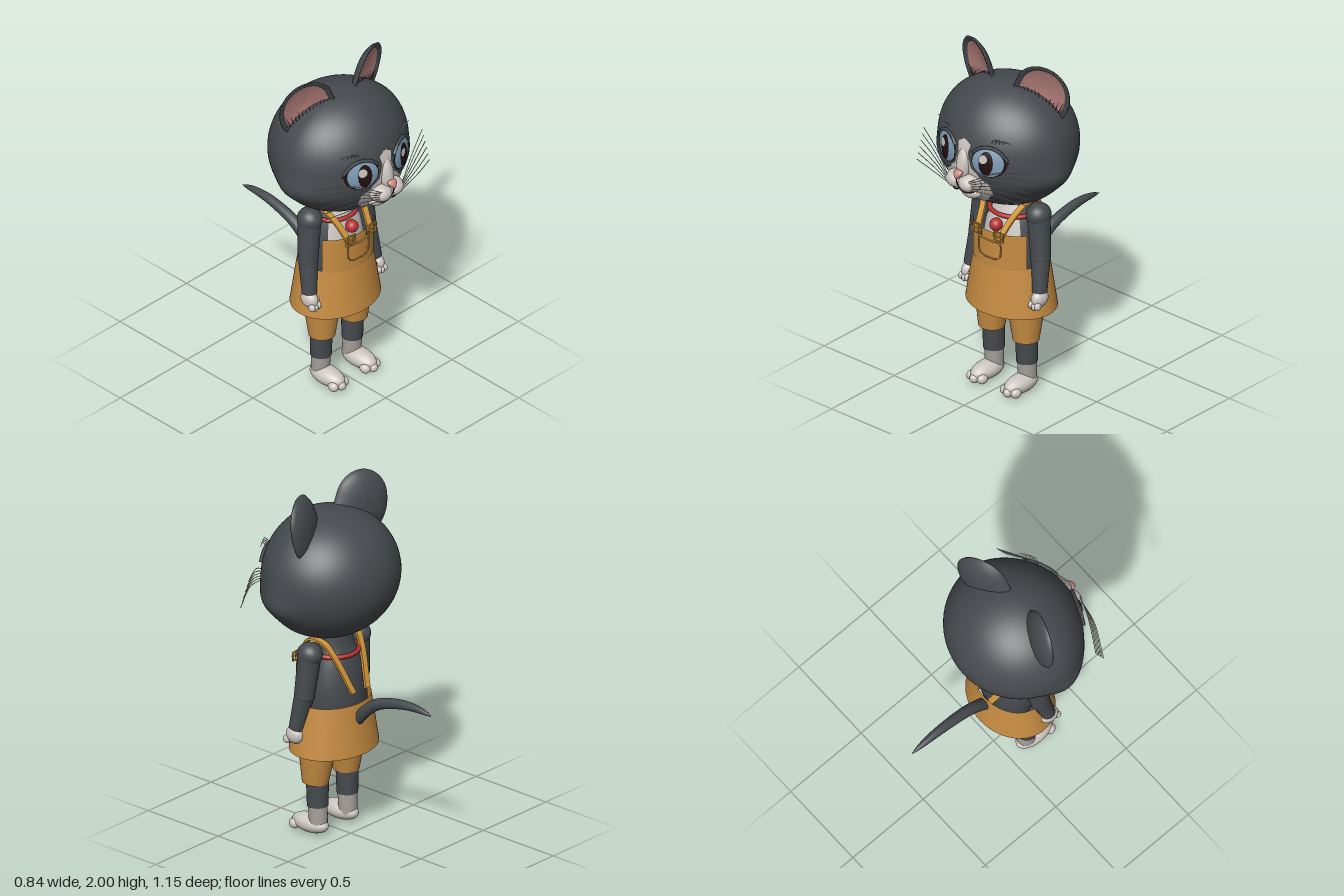
import * as THREE from 'three';
import { mergeVertices } from 'three/addons/utils/BufferGeometryUtils.js';

const mat = (name, color, side = THREE.FrontSide) => {
  const m = new THREE.MeshStandardMaterial({ color, side });
  m.name = name;
  return m;
};
const fur = mat('grey fur', 0x464a4e);
const white = mat('white fur', 0xccc6c1);
const paleGrey = mat('pale grey fur', 0xa6a19d);
const cloth = mat('ochre cloth', 0xc68c42, THREE.DoubleSide);
const gold = mat('gold', 0xd0963a);
const earPink = mat('inner ear', 0xb5807b);
const nosePink = mat('nose pink', 0xc98680);
const red = mat('red', 0xb83232);
const blue = mat('iris blue', 0x7d9cb6);
const dark = mat('dark pupil', 0x220f12);

const V = (x, y, z) => new THREE.Vector3(x, y, z);
const curve = (...p) => new THREE.CatmullRomCurve3(p.map(a => V(...a)));

// Front surface of the head: round skull, cheek ridge, tapering to the face
const ringScale = y => Math.sqrt(Math.max(0, 1 - ((y - 1.49) / 0.36) ** 2));
const headWidth = (y, cheek = 1) =>
  ringScale(y) * (0.405 + 0.034 * cheek * Math.exp(-(((y - 1.375) / 0.075) ** 2)));
const taper = u => Math.max(0, 1 - Math.abs(u) ** 1.85) ** 0.58;
const faceZ = (x, y) => 0.17 + 0.335 * ringScale(y) * taper(Math.min(1, x / (headWidth(y) + 1e-6)));

// Move every vertex by a rule
function warp(geo, rule) {
  const p = geo.attributes.position, v = new THREE.Vector3();
  for (let i = 0; i < p.count; i++) {
    rule(v.fromBufferAttribute(p, i));
    p.setXYZ(i, v.x, v.y, v.z);
  }
  geo.computeVertexNormals();
  return geo;
}

// Bend a unit-tall shape along a path
const sweep = (geo, path) => warp(geo, v => {
  const t = THREE.MathUtils.clamp(v.y + 0.5, 0, 1), T = path.getTangentAt(t);
  const N = V(1, 0, 0).cross(T).normalize();
  v.copy(path.getPointAt(t).add(V(v.x, 0, 0)).addScaledVector(N, v.z));
});

// Read a value from a short table of [position, value]
function lookup(table, y) {
  let i = 0;
  while (i < table.length - 2 && y > table[i + 1][0]) i++;
  const [a, b] = [table[i], table[i + 1]];
  return THREE.MathUtils.lerp(a[1], b[1], THREE.MathUtils.smoothstep(y, a[0], b[0]));
}

export function createModel() {
  const model = new THREE.Group();
  model.name = 'cat in apron';
  const add = (name, geo, m, x = 0, y = 0, z = 0, parent = model) => {
    const mesh = new THREE.Mesh(geo, m);
    mesh.name = name;
    mesh.position.set(x, y, z);
    parent.add(mesh);
    return mesh;
  };
  const ball = (name, m, x, y, z, rx, ry = rx, rz = rx) =>
    add(name, new THREE.SphereGeometry(1, 28, 20).scale(rx, ry, rz), m, x, y, z);
  const limb = (name, m, a, b, ra, rb, open = false) => {
    const A = V(...a), d = V(...b).sub(A);
    const mesh = add(name, new THREE.CylinderGeometry(rb, ra, d.length(), 32, 1, open), m);
    mesh.position.copy(A).addScaledVector(d, 0.5);
    mesh.quaternion.setFromUnitVectors(V(0, 1, 0), d.normalize());
  };
  const tube = (name, m, path, r) => add(name, new THREE.TubeGeometry(path, 16, r, 6), m);
  const facePatch = (name, m, cx, cy, rx, ry, off, bulge = 0) =>
    add(name, warp(new THREE.RingGeometry(0, 1, 36, 6), v => {
      const k = 1 - v.x * v.x - v.y * v.y;
      v.set(cx + rx * v.x, cy + ry * v.y, 0);
      v.z = faceZ(v.x, v.y) + off + bulge * k;
    }), m);

  // Head
  const skull = new THREE.SphereGeometry(1, 72, 48);
  skull.deleteAttribute('uv');
  skull.deleteAttribute('normal');
  add('head', warp(mergeVertices(skull), v => {
    const s = Math.sqrt(Math.max(1e-8, 1 - v.y * v.y)), y = 1.49 + 0.36 * v.y, u = v.x / s;
    const z = v.z > 0 ? 0.17 + 0.335 * s * taper(u) : 0.17 + 0.39 * v.z;
    v.set(u * headWidth(y, THREE.MathUtils.smoothstep(v.z, -0.45, 0)), y, z);
  }), fur);

  // White blaze, muzzle and chin
  const blaze = [[1.15, 0.03], [1.2, 0.045], [1.25, 0.1], [1.31, 0.15], [1.37, 0.155],
    [1.42, 0.1], [1.47, 0.055], [1.54, 0.036], [1.59, 0.045], [1.615, 0.012]];
  add('faceBlaze', warp(new THREE.PlaneGeometry(2, 1, 20, 48), v => {
    const y = 1.15 + (v.y + 0.5) * 0.465, x = v.x * lookup(blaze, y);
    v.set(x, y, faceZ(x, y) + 0.008);
  }), white);
  ball('noseBridge', white, 0, 1.475, 0.497, 0.042, 0.1, 0.044).rotation.x = -0.2;
  ball('chin', white, 0, 1.283, 0.43, 0.07, 0.045, 0.06);
  add('nose', warp(new THREE.SphereGeometry(1, 24, 16), v => {
    v.set(v.x * 0.036 * (0.7 + 0.4 * v.y), v.y * 0.026, v.z * 0.022 - v.y * 0.008);
  }), nosePink, 0, 1.422, 0.55);
  tube('mouthSeam', dark, curve([0, 1.4, 0.561], [0, 1.37, 0.557], [0, 1.335, 0.535]), 0.003);

  for (const s of [1, -1]) {
    // Muzzle, mouth and whiskers
    ball('muzzle', white, s * 0.045, 1.367, 0.503, 0.064, 0.05, 0.064);
    tube('mouth', dark, curve([0, 1.33, 0.538], [s * 0.04, 1.315, 0.53], [s * 0.085, 1.328, 0.512]), 0.004);
    for (let i = 0; i < 6; i++)
      tube('whisker', white, curve([s * 0.075, 1.35 + i * 0.01, 0.55],
        [s * 0.22, 1.36 + i * 0.023, 0.52 - i * 0.008], [s * 0.4, 1.32 + i * 0.034, 0.43 - i * 0.011]), 0.0022);
    for (let i = 0; i < 4; i++) {
      const x = 0.15 + i * 0.018, z = faceZ(x, 1.62);
      tube('browHair', white, curve([s * x, 1.62, z], [s * (x + 0.02), 1.645, z + 0.008],
        [s * (x + 0.055), 1.66 - i * 0.008, z - 0.005]), 0.0022);
    }

    // Eyes
    facePatch('eyeRim', dark, s * 0.15, 1.513, 0.094, 0.088, 0.005);
    add('eyeCorner', warp(new THREE.CircleGeometry(1, 3), v => {
      v.set(s * (0.225 + v.x * 0.034), 1.522 + s * v.y * 0.03, 0);
      v.z = faceZ(v.x, v.y) + 0.008;
    }), dark);
    facePatch('iris', blue, s * 0.147, 1.511, 0.083, 0.081, 0.009, 0.008);
    facePatch('pupil', dark, s * 0.145, 1.511, 0.038, 0.07, 0.018, 0.004);
    facePatch('eyeShine', white, s * 0.147 - 0.014, 1.537, 0.023, 0.025, 0.025);
    tube('eyelid', fur, curve(...[0.06, 0.1, 0.15, 0.2, 0.245].map((x, i) => {
      const y = [1.555, 1.588, 1.598, 1.582, 1.535][i];
      return [s * x, y, faceZ(x, y) + 0.008];
    })), 0.01);

    // Ears, widening inwards at the base
    const ear = new THREE.Group();
    ear.name = 'ear';
    ear.position.set(s * 0.232, 1.835, 0.13);
    ear.rotation.set(0.15, s * 0.35, 0);
    ear.scale.set(1.04, 1.11, 1);
    model.add(ear);
    const dish = pts => warp(
      new THREE.LatheGeometry(pts.map(p => new THREE.Vector2(...p)), 40).rotateX(Math.PI / 2), v => {
        const low = THREE.MathUtils.smoothstep(-v.y, -0.06, 0.12);
        if (v.x * s < 0) v.x *= 1 + 0.5 * low;
        if (v.y < 0) v.y *= 1.2;
      });
    add('earShell', dish([[0, -0.05], [0.05, -0.047], [0.1, -0.035], [0.135, -0.015], [0.15, 0.004],
      [0.146, 0.01], [0.135, 0.007], [0.118, -0.006]]), fur, 0, 0, 0, ear);
    add('innerEar', dish([[0.12, -0.004], [0.08, -0.016], [0, -0.022]]), earPink, 0, 0, 0, ear);
    for (let i = 0; i < 13; i++) {
      const tuft = add('earTuft', new THREE.ConeGeometry(0.005, 0.09 + (i % 3) * 0.016, 5), fur,
        s * (-0.11 + i * 0.017), -0.015 - i * 0.008, 0.004, ear);
      tuft.rotation.z = s * (0.35 - i * 0.08);
    }

    // Arms and paws
    ball('shoulder', fur, s * 0.193, 1.075, 0.12, 0.066, 0.066, 0.072);
    limb('upperArm', fur, [s * 0.193, 1.075, 0.12], [s * 0.22, 0.84, 0.135], 0.064, 0.055);
    ball('elbow', fur, s * 0.22, 0.84, 0.135, 0.056);
    limb('forearm', fur, [s * 0.22, 0.84, 0.135], [s * 0.245, 0.645, 0.17], 0.054, 0.041);
    ball('hand', white, s * 0.25, 0.61, 0.175, 0.038, 0.05, 0.055);
    for (let i = 0; i < 3; i++)
      ball('finger', white, s * (0.228 + i * 0.022), 0.58 + (i % 2) * -0.006, 0.215, 0.016, 0.023, 0.022);
    ball('thumb', white, s * 0.218, 0.61, 0.2, 0.016, 0.024, 0.018);

    // Trouser legs, legs and feet
    limb('trouserLeg', cloth, [s * 0.123, 0.305, 0.143], [s * 0.112, 0.6, 0.13], 0.072, 0.118, true);
    limb('leg', fur, [s * 0.118, 0.17, 0.13], [s * 0.118, 0.45, 0.135], 0.058, 0.064);
    limb('sock', paleGrey, [s * 0.118, 0.05, 0.125], [s * 0.118, 0.175, 0.13], 0.05, 0.053);
    ball('foot', white, s * 0.12, 0.054, 0.18, 0.062, 0.052, 0.118);
    for (let i = -1; i < 2; i++)
      ball('toe', white, s * 0.12 + i * 0.038, 0.036, 0.28 - Math.abs(i) * 0.018, 0.026, 0.028, 0.032);

    // Straps and buckles
    add('strap', sweep(new THREE.BoxGeometry(0.036, 1, 0.014, 1, 40, 1), curve([s * 0.08, 0.96, 0.306],
      [s * 0.105, 1.06, 0.235], [s * 0.137, 1.135, 0.165], [s * 0.13, 1.13, 0.075],
      [s * 0.11, 1.06, 0.02], [s * 0.055, 0.855, -0.07])), gold);
    const buckle = add('buckle', new THREE.TorusGeometry(0.04, 0.006, 6, 4).rotateZ(Math.PI / 4)
      .scale(1.15, 0.85, 1), gold, s * 0.078, 0.975, 0.314);
    add('bucklePin', new THREE.BoxGeometry(0.07, 0.008, 0.008), gold, 0, 0, 0.004, buckle);
    add('buckleTab', new THREE.BoxGeometry(0.026, 0.06, 0.006), gold, 0, 0, -0.001, buckle);
  }

  // Torso with white chest and pale throat
  const torso = [[0, 0.43], [0.04, 0.445], [0.1, 0.49], [0.155, 0.58], [0.185, 0.76], [0.175, 0.88],
    [0.155, 0.99], [0.12, 1.06], [0.1, 1.1], [0.095, 1.18]].map(p => new THREE.Vector2(...p));
  add('torso', new THREE.LatheGeometry(torso, 40).scale(1, 1, 0.8), fur, 0, 0, 0.1);
  const frontPanel = (name, m, from, to) => add(name,
    new THREE.LatheGeometry(torso.slice(from, to), 20, -0.85, 1.7).scale(1.03, 1, 0.84), m, 0, 0, 0.1);
  frontPanel('chest', white, 5, 9);
  frontPanel('throat', paleGrey, 8, 10);

  // Collar and bell
  add('collar', new THREE.TorusGeometry(0.132, 0.013, 10, 40).rotateX(Math.PI / 2).scale(1, 1, 0.9),
    red, 0, 1.05, 0.107);
  ball('bell', red, 0, 0.995, 0.245, 0.036);

  // Apron skirt, bib and pocket
  add('apronSkirt', new THREE.CylinderGeometry(0.222, 0.268, 0.285, 56, 1, true).scale(1, 1, 0.81),
    cloth, 0, 0.637, 0.12);
  add('apronBib', new THREE.CylinderGeometry(0.221, 0.223, 0.21, 36, 1, true, -1.05, 2.1).scale(1, 1, 0.83),
    cloth, 0, 0.875, 0.12);
  const bibZ = x => 0.122 + 0.83 * Math.sqrt(0.222 ** 2 - x * x);
  const seam = [[-0.075, 0.925], [-0.078, 0.86], [-0.062, 0.828], [0, 0.822], [0.062, 0.828], [0.078, 0.86], [0.075, 0.925]];
  tube('pocketSeam', cloth, curve(...seam.map(([x, y]) => [x, y, bibZ(x)])), 0.004);
  tube('pocketHem', cloth, curve(...[-0.08, -0.04, 0, 0.04, 0.08].map(x => [x, 0.925, bibZ(x)])), 0.005);

  // Tail
  const tail = new THREE.SplineCurve([[0.034, -0.5], [0.031, -0.1], [0.025, 0.2], [0.015, 0.4], [0.001, 0.5]]
    .map(p => new THREE.Vector2(...p)));
  add('tail', sweep(new THREE.LatheGeometry(tail.getPoints(32), 18),
    curve([0, 0.66, -0.03], [0, 0.74, -0.1], [0, 0.81, -0.19], [0, 0.86, -0.36], [0, 0.867, -0.48], [0, 0.855, -0.58])), fur);

  return model;
}
